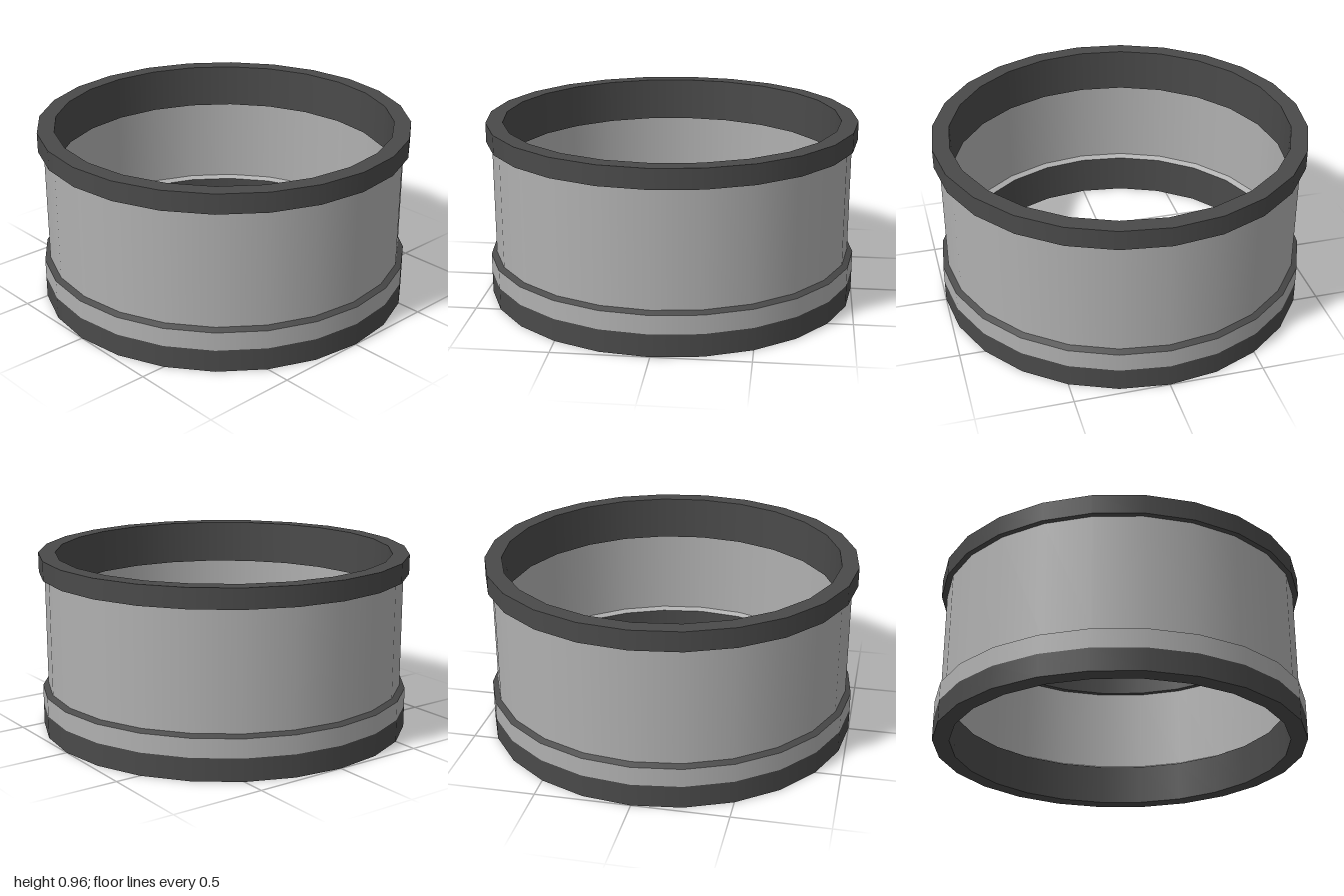
import * as THREE from 'three';
import { mergeGeometries } from 'three/addons/utils/BufferGeometryUtils.js';

const SIDES = 24;

const darkRubber = new THREE.MeshStandardMaterial({ color: 0x4a4a4a });
const lightMetal = new THREE.MeshStandardMaterial({ color: 0xb0b0b0 });
darkRubber.name = 'dark grey';
lightMetal.name = 'light grey';

// Revolves a [radius, y] profile: smooth around, with a sharp edge at each point.
// Rising lines face outward, falling lines face inward.
function revolve(name, material, profile) {
  const strips = [];
  for (let i = 0; i < profile.length - 1; i++) {
    const ends = [profile[i], profile[i + 1]].map(([r, y]) => new THREE.Vector2(r, y));
    strips.push(new THREE.LatheGeometry(ends, SIDES));
  }
  const mesh = new THREE.Mesh(mergeGeometries(strips), material);
  mesh.name = name;
  return mesh;
}

export function createModel() {
  const group = new THREE.Group();
  group.name = 'ringSleeve';

  group.add(
    // Top collar: short lip outside, deeper lining inside
    revolve('topCollar', darkRubber, [
      [0.97, 0.855], [1, 0.855], [1, 0.96], [0.91, 0.96], [0.91, 0.72], [0.94, 0.72],
    ]),
    // Thin cylindrical wall
    revolve('outerWall', lightMetal, [[0.97, 0.235], [0.97, 0.855]]),
    revolve('innerWall', lightMetal, [[0.94, 0.72], [0.94, 0.24]]),
    // Lower flange: light band over a dark base
    revolve('flangeSeam', darkRubber, [[1, 0.22], [0.97, 0.235]]),
    revolve('flangeBand', lightMetal, [[1, 0.12], [1, 0.22]]),
    revolve('innerLedge', lightMetal, [[0.94, 0.24], [0.91, 0.225]]),
    revolve('bottomCollar', darkRubber, [[0.91, 0.225], [0.91, 0], [1, 0], [1, 0.12]]),
  );
  return group;
}
